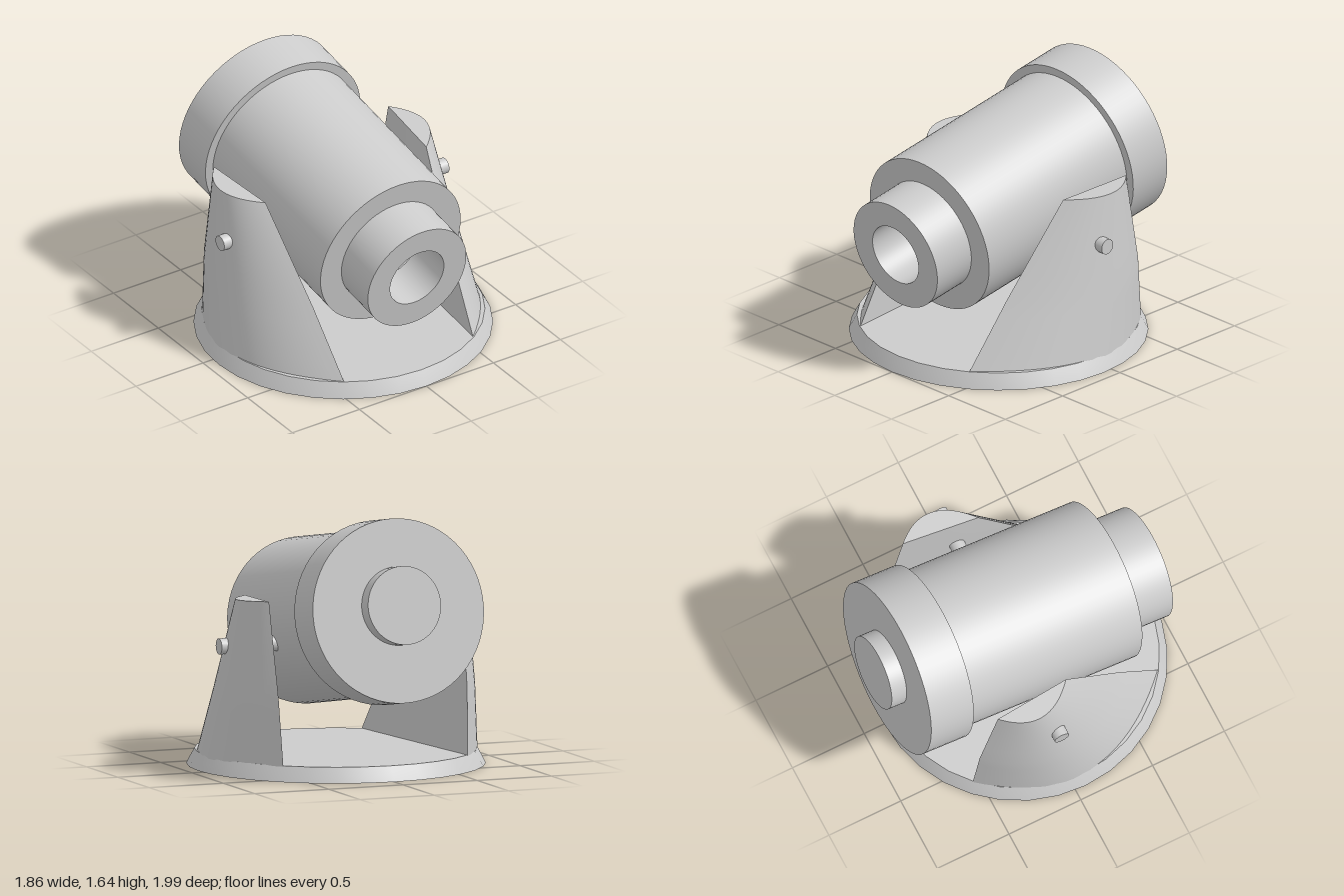
import * as THREE from 'three';
import { mergeGeometries } from 'three/addons/utils/BufferGeometryUtils.js';

const material = new THREE.MeshStandardMaterial({ color: 0xcccccc });

function addPart(parent, name, geometry) {
  const mesh = new THREE.Mesh(geometry, material);
  mesh.name = name;
  parent.add(mesh);
  return mesh;
}

// Lathe with every profile corner kept sharp, except those marked smooth
function turned(profile, segments = 64) {
  const points = [];
  for (const [r, y, smooth] of profile) {
    points.push(new THREE.Vector2(r, y));
    if (!smooth) points.push(new THREE.Vector2(r, y));
  }
  return new THREE.LatheGeometry(points, segments);
}

// Sheet of quads from f(u, v); faces towards du x dv, or the reverse when flipped
function sheet(f, nu, nv, flip) {
  const position = [], index = [];
  for (let j = 0; j <= nv; j++) {
    for (let i = 0; i <= nu; i++) position.push(...f(i / nu, j / nv));
  }
  for (let j = 0; j < nv; j++) {
    for (let i = 0; i < nu; i++) {
      const a = j * (nu + 1) + i, b = a + 1, c = b + nu + 1, d = a + nu + 1;
      index.push(...(flip ? [a, c, b, a, d, c] : [a, b, c, a, c, d]));
    }
  }
  const g = new THREE.BufferGeometry();
  g.setAttribute('position', new THREE.Float32BufferAttribute(position, 3));
  g.setIndex(index);
  g.computeVertexNormals();
  return g;
}

// Cheek levels: front corner, rear corner and outward bulge of the section
const levels = [
  { front: [0.48, 0.08, 0.81], rear: [0.62, 0.08, -0.56], bulge: 0.33 },
  { front: [0.52, 0.5, 0.514], rear: [0.635, 0.5, -0.52], bulge: 0.255 },
  { front: [0.6, 1.08, 0.1], rear: [0.65, 1.105, -0.4], bulge: 0.135 },
];

// Point on a cheek: t front to rear, v bottom to top, out 0 (inner wall) to 1 (outer)
function cheekPoint(side, t, v, out) {
  const k = Math.min(Math.floor(v * 2), 1), f = v * 2 - k;
  const at = ({ front, rear, bulge }) => [
    THREE.MathUtils.lerp(front[0], rear[0], t) + out * bulge * 4 * t * (1 - t),
    THREE.MathUtils.lerp(front[1], rear[1], t),
    THREE.MathUtils.lerp(front[2], rear[2], t),
  ];
  const a = at(levels[k]), b = at(levels[k + 1]);
  const p = a.map((n, i) => THREE.MathUtils.lerp(n, b[i], f));
  return [side * p[0], p[1], p[2]];
}

function cheekGeometry(side) {
  const flip = side < 0;
  return mergeGeometries([
    sheet((u, v) => cheekPoint(side, u, v, 1), 24, 8, flip),
    sheet((u, v) => cheekPoint(side, 1 - u, v, 0), 4, 8, flip),
    sheet((u, v) => cheekPoint(side, v, 1, u), 1, 24, flip),
  ]);
}

export function createModel() {
  const model = new THREE.Group();
  model.name = 'mortar';

  // Round base plate with a softly sloped rim
  const base = addPart(model, 'base', turned(
    [[0, 0], [0.93, 0], [0.908, 0.045, true], [0.88, 0.095], [0, 0.095]], 32));
  base.position.z = 0.07;

  // Curved cheeks on both sides
  addPart(model, 'leftCheek', cheekGeometry(1));
  addPart(model, 'rightCheek', cheekGeometry(-1));

  // Axle running through cheeks and barrel
  const axle = addPart(model, 'axle', new THREE.CylinderGeometry(0.05, 0.05, 1.68, 24));
  axle.rotation.z = Math.PI / 2;
  axle.position.set(0, 0.79, -0.05);

  // Tilted gun: local +y points out of the muzzle
  const gun = new THREE.Group();
  gun.name = 'gun';
  gun.position.set(-0.03, 0.77, 0.94);
  gun.rotation.x = THREE.MathUtils.degToRad(99.5);
  model.add(gun);

  addPart(gun, 'muzzle', turned(
    [[0.2, -0.3], [0.365, -0.3], [0.365, 0], [0.2, 0], [0.2, -0.3]]));
  addPart(gun, 'barrel', turned(
    [[0.365, -1.52], [0.52, -1.52], [0.52, -0.3], [0.365, -0.3], [0.365, -1.52]]));
  addPart(gun, 'breech', turned(
    [[0, -1.82], [0.575, -1.82], [0.575, -1.52], [0, -1.52]]));
  const knob = addPart(gun, 'breechKnob', turned(
    [[0, -1.925], [0.245, -1.925], [0.245, -1.8], [0, -1.8]]));
  knob.position.z = -0.03;

  return model;
}
